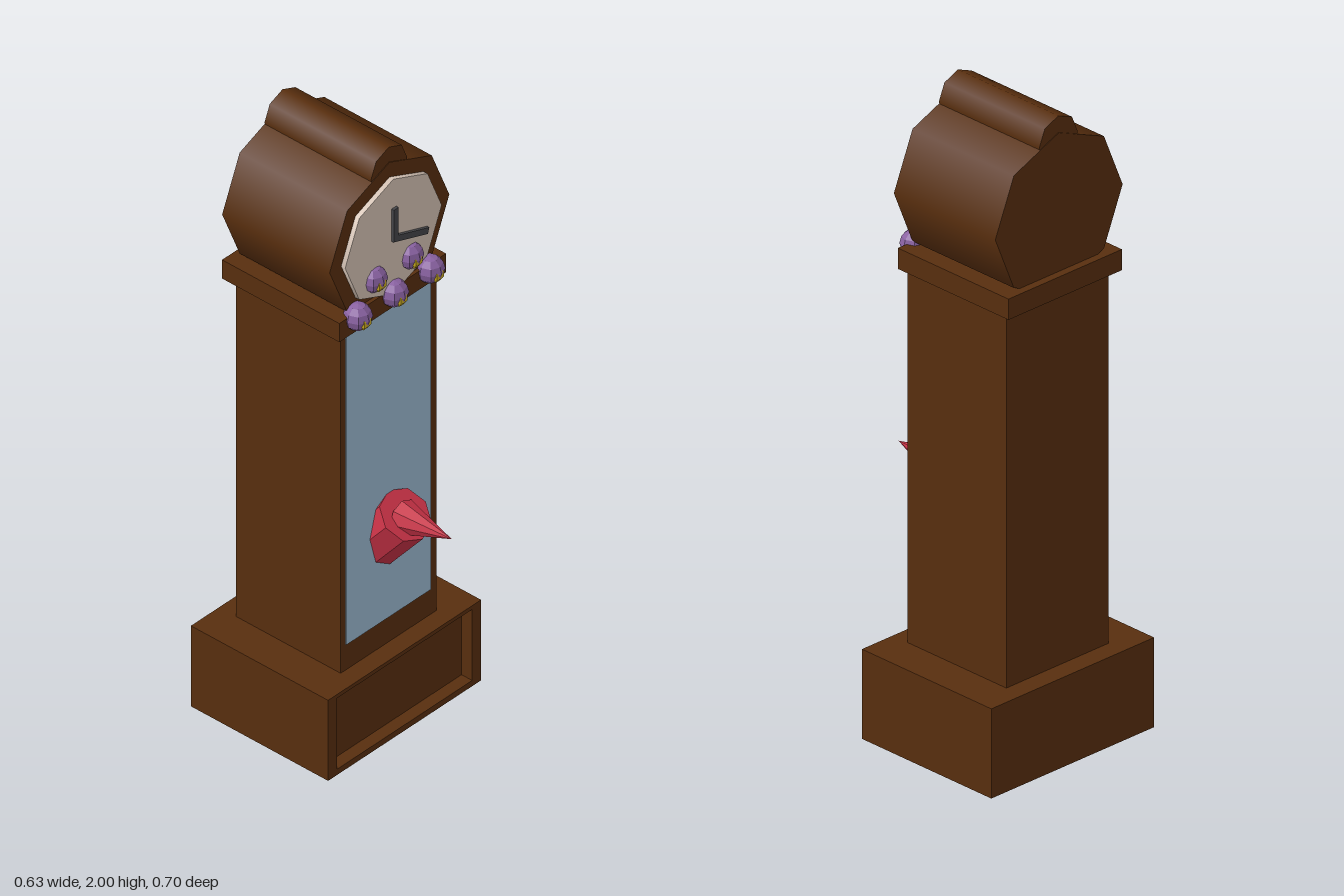
import * as THREE from 'three';

const mat = (name, color, flat = false) => {
  const m = new THREE.MeshStandardMaterial({ color, flatShading: flat });
  m.name = name;
  return m;
};

export function createModel() {
  const wood = mat('dark wood', 0x582e0e);
  const ivory = mat('ivory', 0xd6c4b6);
  const glassBlue = mat('glass blue', 0x9dbad2);
  const red = mat('red', 0xc83246, true);
  const purple = mat('purple', 0x8a62a2, true);
  const yellow = mat('yellow', 0xd0b020, true);
  const iron = mat('dark grey', 0x46464a, true);

  const model = new THREE.Group();
  model.name = 'longcaseClock';

  const add = (name, geometry, material, x = 0, y = 0, z = 0, parent = model) => {
    const mesh = new THREE.Mesh(geometry, material);
    mesh.name = name;
    mesh.position.set(x, y, z);
    parent.add(mesh);
    return mesh;
  };
  // Box given by its limits
  const box = (name, material, x0, x1, y0, y1, z0, z1) =>
    add(name, new THREE.BoxGeometry(x1 - x0, y1 - y0, z1 - z0), material,
      (x0 + x1) / 2, (y0 + y1) / 2, (z0 + z1) / 2);
  // Octagonal drum lying along z
  const drum = (name, material, r, y, z0, z1) =>
    add(name, new THREE.CylinderGeometry(r, r, z1 - z0, 8).rotateX(Math.PI / 2),
      material, 0, y, (z0 + z1) / 2);

  // Plinth with a recessed front panel
  const depth = 0.04;
  box('plinth', wood, -0.317, 0.317, 0, 0.28, -0.35, 0.167 - depth);
  const frame = new THREE.Shape([[-0.317, 0], [0.317, 0], [0.317, 0.28], [-0.317, 0.28]]
    .map(p => new THREE.Vector2(...p)));
  frame.holes.push(new THREE.Path([[-0.28, 0.02], [-0.28, 0.267], [0.28, 0.267], [0.28, 0.02]]
    .map(p => new THREE.Vector2(...p))));
  add('plinthFrame', new THREE.ExtrudeGeometry(frame, { depth, bevelEnabled: false }),
    wood, 0, 0, 0.167 - depth);

  // Tall case, glass door and cornice
  box('caseBody', wood, -0.2, 0.197, 0.28, 1.45, -0.287, 0.108);
  box('glassDoor', glassBlue, -0.18, 0.17, 0.37, 1.45, 0.105, 0.112);
  box('cornice', wood, -0.221, 0.221, 1.45, 1.515, -0.32, 0.122);

  // Octagonal hood, crown roll and dial
  drum('hood', wood, 0.248, 1.7, -0.295, 0.11);
  drum('crown', wood, 0.075, 1.925, -0.293, 0.108);
  drum('dial', ivory, 0.2, 1.697, 0.1, 0.125);

  // Clock hands
  const hand = (name, length, angle) => {
    const pivot = new THREE.Group();
    pivot.name = name;
    pivot.position.set(0, 1.695, 0.131);
    pivot.rotation.z = angle;
    model.add(pivot);
    add(name + 'Bar', new THREE.BoxGeometry(0.02, length, 0.009), iron, 0, length / 2 - 0.008, 0, pivot);
  };
  hand('upperHand', 0.112, 0);
  hand('sideHand', 0.15, -1.9);

  // Faceted flower buds along the foot of the dial
  const buds = [[-0.15, 1.505, 0.127], [0, 1.505, 0.127], [0.15, 1.505, 0.127],
    [-0.075, 1.59, 0.115], [0.075, 1.59, 0.115]];
  for (const [x, y, z] of buds) {
    const bud = new THREE.Group();
    bud.name = 'flowerBud';
    bud.position.set(x, y, z);
    model.add(bud);
    add('petals', new THREE.SphereGeometry(0.043, 8, 6), purple, 0, 0, 0, bud);
    add('budCentre', new THREE.SphereGeometry(0.029, 6, 5), yellow, 0, -0.007, 0.015, bud);
  }

  // Bird: tilted octagonal body coming out of the door, with a pointed beak
  const up = new THREE.Vector3(0, 1, 0);
  const along = (mesh, x, y, z) =>
    mesh.quaternion.setFromUnitVectors(up, new THREE.Vector3(x, y, z).normalize());
  const body = add('birdBody', new THREE.CylinderGeometry(0.083, 0.083, 0.22, 8).translate(0, -0.11, 0),
    red, 0, 0.753, 0.171);
  along(body, 0, 0.77, 0.64);
  const beak = add('birdBeak', new THREE.ConeGeometry(0.053, 0.185, 8), red, 0, 0.748, 0.253);
  along(beak, 0, 0.014, 0.184);

  return model;
}
